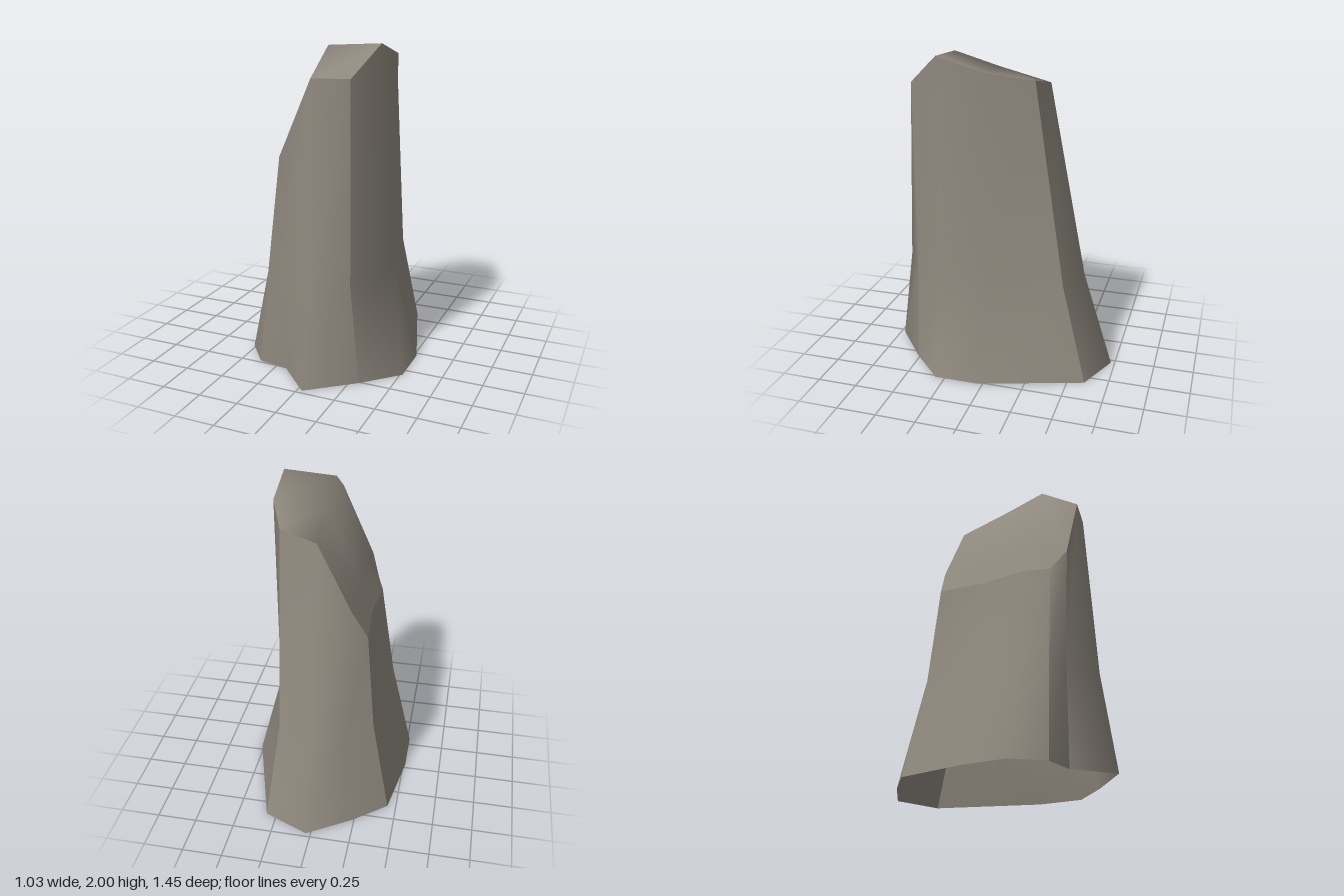
import * as THREE from 'three';

const stone = new THREE.MeshStandardMaterial({ color: 0x8f887e, side: THREE.DoubleSide });
stone.name = 'greyStone';

// Vertical columns of the rock: base, shoulder and rim point [x, y, z]
const columns = {
  front: [[0.03, 0, 0.725], [0.03, 0.61, 0.645], [0.03, 1.82, 0.555]],
  frontLeft: [[0.305, 0, 0.51], [0.25, 0.61, 0.51], [0.25, 1.82, 0.51]],
  leftA: [[0.515, 0, 0.31], [0.355, 0.61, 0.31], [0.355, 2, 0.31]],
  leftB: [[0.515, 0, 0.03], [0.355, 0.61, 0.03], [0.355, 1.92, 0.03]],
  backLeft: [[0.315, 0, -0.605], [0.25, 0.61, -0.44], [0.25, 1.87, -0.25]],
  back: [[0.03, 0, -0.725], [0.03, 0.61, -0.53], [0.03, 1.82, -0.29]],
  backRight: [[-0.24, 0, -0.555], [-0.175, 0.61, -0.42], [-0.175, 1.41, -0.31]],
  rightCorner: [[-0.445, 0, -0.39], [-0.325, 0.61, -0.32], [-0.27, 1.23, -0.28]],
  rightB: [[-0.515, 0, 0.03], [-0.37, 0.61, 0.03], [-0.25, 1.23, 0.03]],
  rightA: [[-0.515, 0, 0.31], [-0.37, 0.61, 0.31], [-0.275, 1.23, 0.31]],
  notchEdge: [[-0.375, 0, 0.48], [-0.31, 0.61, 0.47], [-0.23, 1.23, 0.46]],
  notch: [[-0.177, 0, 0.515], [-0.175, 0.61, 0.52], [-0.175, 1.36, 0.55]],
};

// Smooth surface through rows of points
function patch(name, rows) {
  const w = rows[0].length;
  const index = [];
  for (let r = 0; r < rows.length - 1; r++) {
    for (let c = 0; c < w - 1; c++) {
      const a = r * w + c, d = a + w;
      index.push(a, a + 1, d + 1, a, d + 1, d);
    }
  }
  const geometry = new THREE.BufferGeometry();
  geometry.setAttribute('position', new THREE.Float32BufferAttribute(rows.flat(2), 3));
  geometry.setIndex(index);
  geometry.computeVertexNormals();
  const mesh = new THREE.Mesh(geometry, stone);
  mesh.name = name;
  return mesh;
}

// Wall running over a list of columns, sharp only at its ends
function wall(name, names) {
  return patch(name, [0, 1, 2].map((level) => names.map((n) => columns[n][level])));
}

export function createModel() {
  const rock = new THREE.Group();
  rock.name = 'standingRock';

  // Walls, open at the bottom
  rock.add(
    wall('frontWall', ['notch', 'front', 'frontLeft']),
    wall('leftWall', ['frontLeft', 'leftA', 'leftB', 'backLeft']),
    wall('backWall', ['backLeft', 'back', 'backRight', 'rightCorner']),
    wall('rightWall', ['rightCorner', 'rightB', 'rightA', 'notchEdge']),
    wall('notchWall', ['notchEdge', 'notch']),
  );

  // Sloping top, rows from front to back
  const rim = (n) => columns[n][2];
  rock.add(patch('slopedTop', [
    ['notchEdge', 'notch', 'front', 'frontLeft'].map(rim),
    [rim('rightA'), [-0.175, 1.42, 0.31], [0.03, 1.98, 0.31], rim('leftA')],
    [rim('rightB'), [-0.175, 1.41, 0.03], [0.03, 1.9, 0.03], rim('leftB')],
    ['rightCorner', 'backRight', 'back', 'backLeft'].map(rim),
  ]));

  return rock;
}
